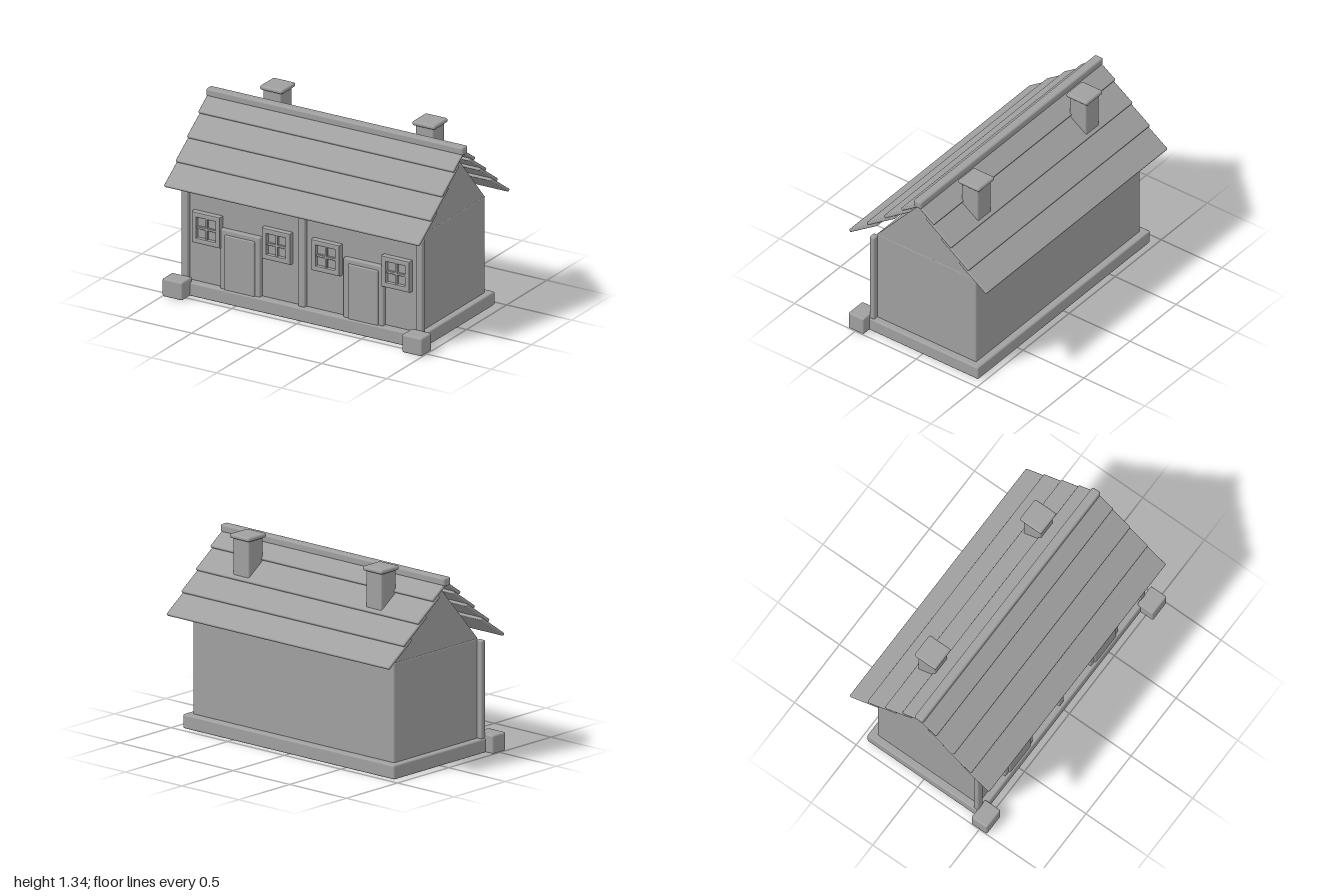
import * as THREE from 'three';
import { RoundedBoxGeometry } from 'three/addons/geometries/RoundedBoxGeometry.js';

const stone = new THREE.MeshStandardMaterial({ color: 0xa0a0a0 });
stone.name = 'plain grey';

function add(parent, name, geometry) {
  const mesh = new THREE.Mesh(geometry, stone);
  mesh.name = name;
  parent.add(mesh);
  return mesh;
}

// Soft-edged box given by its limits on each axis
function block(parent, name, [x0, x1], [y0, y1], [z0, z1], r = 0.01) {
  const mesh = add(parent, name, new RoundedBoxGeometry(x1 - x0, y1 - y0, z1 - z0, 2, r));
  mesh.position.set((x0 + x1) / 2, (y0 + y1) / 2, (z0 + z1) / 2);
  return mesh;
}

function square(target, h) {
  target.moveTo(-h, -h);
  target.lineTo(h, -h);
  target.lineTo(h, h);
  target.lineTo(-h, h);
  target.closePath();
  return target;
}

function makeWindow(x) {
  const win = new THREE.Group();
  win.name = 'window';
  // Frame with a square opening
  const shape = square(new THREE.Shape(), 0.1);
  shape.holes.push(square(new THREE.Path(), 0.082));
  const frame = new THREE.ExtrudeGeometry(shape, {
    depth: 0.03, bevelEnabled: true, bevelThickness: 0.01, bevelSize: 0.01, bevelSegments: 2,
  });
  add(win, 'windowFrame', frame).position.z = 0.005;
  block(win, 'windowPane', [-0.09, 0.09], [-0.09, 0.09], [0, 0.02], 0.002);
  // Glazing bars
  block(win, 'verticalBar', [-0.009, 0.009], [-0.08, 0.08], [0.01, 0.036], 0.005);
  block(win, 'horizontalBar', [-0.08, 0.08], [-0.009, 0.009], [0.01, 0.036], 0.005);
  win.position.set(x, 0.49, 0.41);
  return win;
}

// Overlapping boards of one roof slope, facing +z
function makeRoofSlope() {
  const slope = new THREE.Group();
  slope.name = 'roofSlope';
  const a = 0.605, t = 0.022;
  const boards = [[0.57, 0.775, 0.275], [0.425, 0.9, 0.275], [0.283, 1.022, 0.255], [0.142, 1.148, 0.165]];
  for (const [z, y, length] of boards) {
    const board = add(slope, 'roofBoard', new RoundedBoxGeometry(1.965, t, length, 2, 0.008));
    board.rotation.x = a;
    board.position.set(0,
      y + (Math.sin(a) * length + Math.cos(a) * t) / 2,
      z - (Math.cos(a) * length + Math.sin(a) * t) / 2);
  }
  return slope;
}

export function createModel() {
  const house = new THREE.Group();
  house.name = 'house';

  // Plinth and front corner stones
  block(house, 'plinth', [-0.935, 0.935], [0, 0.097], [-0.46, 0.46], 0.012);
  for (const s of [-1, 1]) {
    block(house, 'cornerStone', s < 0 ? [-1, -0.845] : [0.845, 1], [0, 0.127], [0.433, 0.56], 0.012);
  }

  // Walls and gabled loft
  block(house, 'walls', [-0.89, 0.89], [0.09, 0.778], [-0.41, 0.41], 0.012);
  const gable = new THREE.Shape();
  gable.moveTo(-0.405, 0.775);
  gable.lineTo(0.405, 0.775);
  gable.lineTo(0, 1.238);
  gable.closePath();
  add(house, 'gable', new THREE.ExtrudeGeometry(gable, { depth: 1.78, bevelEnabled: false })
    .rotateY(Math.PI / 2).translate(-0.89, 0, 0));

  // Front posts
  for (const x of [-0.903, -0.002, 0.903]) {
    block(house, 'post', [x - 0.026, x + 0.026], [0.095, 0.765], [0.4, 0.44]);
  }

  // Doors and windows
  for (const x of [-0.475, 0.475]) {
    block(house, 'doorFrame', [x - 0.155, x + 0.155], [0.09, 0.517], [0.4, 0.44]);
    block(house, 'door', [x - 0.117, x + 0.117], [0.09, 0.483], [0.41, 0.45]);
  }
  for (const x of [-0.73, -0.19, 0.19, 0.73]) house.add(makeWindow(x));

  // Roof
  const back = makeRoofSlope();
  back.rotation.y = Math.PI;
  house.add(makeRoofSlope(), back);
  block(house, 'ridgeBeam', [-0.99, 0.99], [1.236, 1.291], [-0.033, 0.033], 0.013);

  // Chimneys on the rear slope
  for (const x of [-0.573, 0.6]) {
    block(house, 'chimneyStack', [x - 0.07, x + 0.07], [0.985, 1.31], [-0.26, -0.12]);
    block(house, 'chimneyCap', [x - 0.0875, x + 0.0875], [1.304, 1.335], [-0.279, -0.104], 0.014);
  }
  return house;
}
